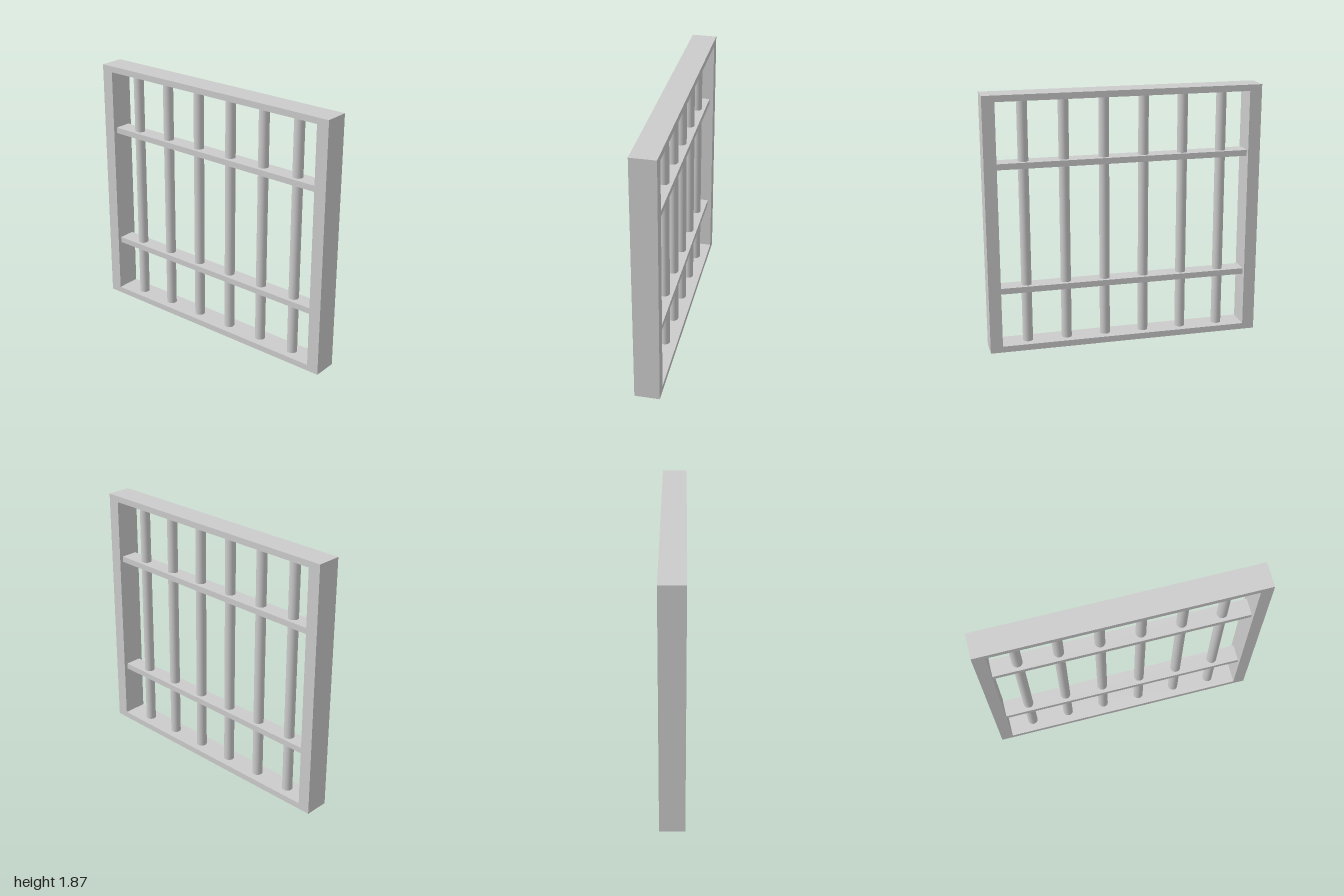
import * as THREE from 'three';

const WIDTH = 2, HEIGHT = 1.866, DEPTH = 0.18;
const OPENING = { x: 0.911, bottom: 0.045, top: 1.821 };

export function createModel() {
  const group = new THREE.Group();
  const material = new THREE.MeshStandardMaterial({ color: 0xcccccc });
  const add = (name, geometry, x, y, z) => {
    const mesh = new THREE.Mesh(geometry, material);
    mesh.name = name;
    mesh.position.set(x, y, z);
    group.add(mesh);
  };

  // Counter-clockwise rectangle as points
  const rect = (x, y0, y1) => [
    new THREE.Vector2(-x, y0), new THREE.Vector2(x, y0),
    new THREE.Vector2(x, y1), new THREE.Vector2(-x, y1),
  ];

  // Outer frame with wide side posts and thin top and bottom rails
  const outline = new THREE.Shape(rect(WIDTH / 2, 0, HEIGHT));
  outline.holes.push(new THREE.Path(rect(OPENING.x, OPENING.bottom, OPENING.top).reverse()));
  add('frame', new THREE.ExtrudeGeometry(outline, { depth: DEPTH, bevelEnabled: false }), 0, 0, -DEPTH / 2);

  // Two flat horizontal crossbars, set in slightly from the frame faces
  const crossbar = new THREE.BoxGeometry(OPENING.x * 2, 0.043, 0.124);
  add('lowerCrossbar', crossbar, 0, 0.455, 0);
  add('upperCrossbar', crossbar, 0, 1.364, 0);

  // Six round vertical bars
  const barHeight = OPENING.top - OPENING.bottom;
  const bar = new THREE.CylinderGeometry(0.037, 0.037, barHeight, 32, 1, true);
  for (let i = 0; i < 6; i++) {
    add(`verticalBar${i + 1}`, bar, -0.727 + i * 0.2885, OPENING.bottom + barHeight / 2, 0);
  }
  return group;
}
